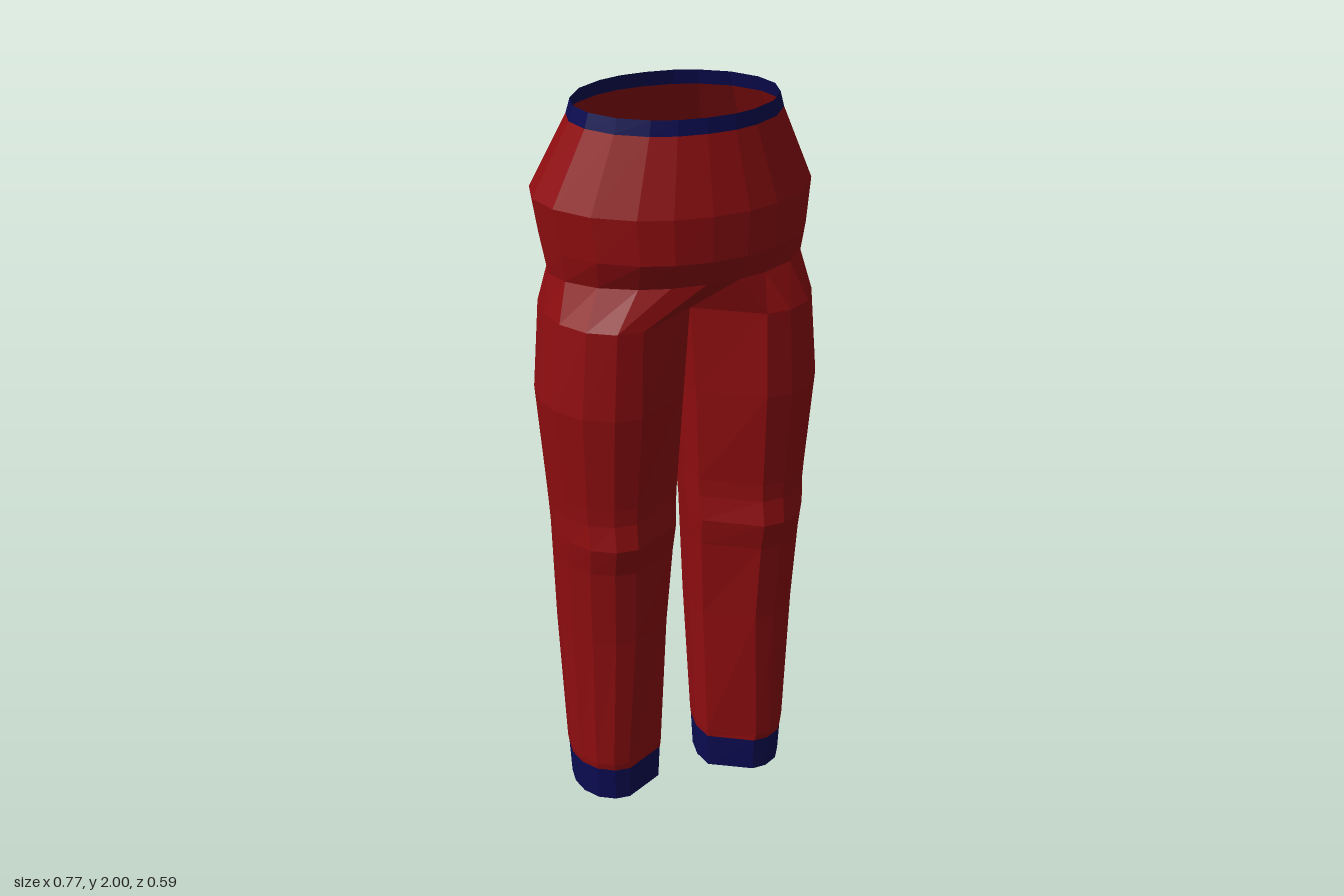
import * as THREE from 'three';

const red = new THREE.MeshStandardMaterial({ color: 0x8f0d10, flatShading: true, side: THREE.DoubleSide });
red.name = 'red cloth';
const blue = new THREE.MeshStandardMaterial({ color: 0x0b0b52, flatShading: true, side: THREE.DoubleSide });
blue.name = 'navy trim';

// half of the body section, front centre to back centre: [share of width, share of depth]
const BODY = [[0, 1], [0.27, 0.97], [0.5, 0.87], [0.76, 0.65], [0.94, 0.33], [1, 0],
  [0.94, -0.33], [0.76, -0.65], [0.5, -0.87], [0.27, -0.97], [0, -1]];
// outer part of the leg section, front seam to back seam
const LEG = [[0, 1], [0.35, 0.98], [0.7, 0.78], [0.93, 0.42], [1, 0],
  [0.93, -0.42], [0.7, -0.78], [0.35, -0.98], [0, -1]];

function bodyRing([y, w, front, back]) {
  const c = (front + back) / 2, d = (front - back) / 2;
  return BODY.map(([fx, fz]) => [w * fx, y, c + d * fz]);
}

function legRing([y, outer, seam, inner, front, back]) {
  const c = (front + back) / 2, d = (front - back) / 2;
  const ring = LEG.map(([fx, fz]) => [seam + (outer - seam) * fx, y, c + d * fz]);
  const step = inner > 0 ? 0.01 : 0;
  ring.push([inner + step, y, c - d * 0.48], [inner, y, c], [inner + step, y, c + d * 0.48]);
  ring.push(ring[0]);
  return ring;
}

// quads between neighbouring rings, listed from top to bottom
function loft(rings) {
  const quads = [];
  for (let r = 0; r < rings.length - 1; r++) {
    const up = rings[r], low = rings[r + 1];
    for (let i = 0; i < up.length - 1; i++) quads.push([low[i], low[i + 1], up[i + 1], up[i]]);
  }
  return quads;
}

// one mesh from quads, for the +x side (s = 1) or the -x side (s = -1)
function half(name, quads, material, s) {
  const pos = [];
  for (const q of quads) {
    const [a, b, c, d] = s > 0 ? q : [...q].reverse();
    for (const p of [a, b, c, a, c, d]) pos.push(p[0] * s, p[1], p[2]);
  }
  const g = new THREE.BufferGeometry();
  g.setAttribute('position', new THREE.Float32BufferAttribute(pos, 3));
  g.computeVertexNormals();
  const m = new THREE.Mesh(g, material);
  m.name = name;
  return m;
}

export function createModel() {
  const model = new THREE.Group();
  model.name = 'trousers';

  // y, half width, front z, back z
  const waist = [[2, 0.274, 0.248, -0.183], [1.96, 0.285, 0.252, -0.19]].map(bodyRing);
  const hips = [
    [1.96, 0.285, 0.252, -0.19],
    [1.76, 0.376, 0.293, -0.293],
    [1.64, 0.359, 0.291, -0.265],
    [1.565, 0.347, 0.25, -0.195],
  ].map(bodyRing);

  // y, outer x, seam x, inner x, front z, back z
  const legs = [
    [1.46, 0.365, 0.17, 0, 0.248, -0.183],
    [1.22, 0.384, 0.175, 0.008, 0.248, -0.175],
    [0.95, 0.361, 0.18, 0.022, 0.222, -0.145],
    [0.9, 0.357, 0.181, 0.024, 0.22, -0.141],
    [0.83, 0.353, 0.182, 0.028, 0.232, -0.137],
    [0.75, 0.349, 0.182, 0.032, 0.212, -0.132],
    [0.52, 0.338, 0.178, 0.045, 0.193, -0.135],
    [0.12, 0.318, 0.195, 0.062, 0.177, -0.102],
    [0.1, 0.315, 0.19, 0.064, 0.174, -0.098],
  ].map(legRing);
  const hem = [
    [0.1, 0.315, 0.19, 0.064, 0.172, -0.098],
    [0, 0.309, 0.19, 0.068, 0.168, -0.09],
  ].map(legRing);

  // join between hip edge and thigh, with the crotch gussets front and back
  const edge = hips[hips.length - 1], thigh = legs[0];
  const join = loft([edge.slice(1, 10), thigh.slice(0, 9)]);
  join.push([thigh[11], thigh[0], edge[1], edge[0]]);
  join.push([thigh[8], thigh[9], edge[10], edge[9]]);

  for (const s of [1, -1]) {
    const side = s > 0 ? 'left' : 'right';
    model.add(
      half(side + 'Waistband', loft(waist), blue, s),
      half(side + 'Hip', loft(hips), red, s),
      half(side + 'Crotch', join, red, s),
      half(side + 'Leg', loft(legs), red, s),
      half(side + 'Cuff', loft(hem), blue, s),
    );
  }
  return model;
}
